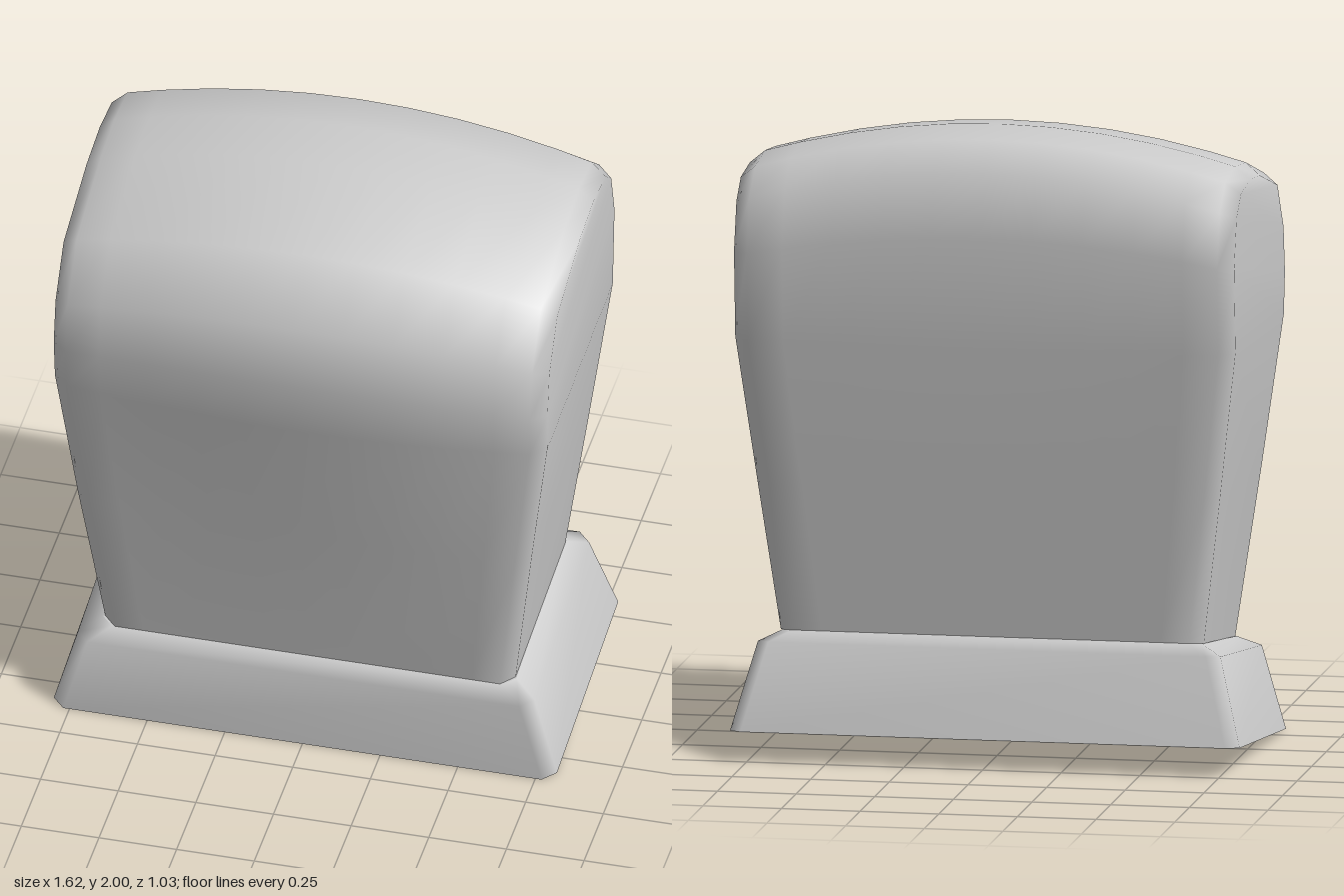
import * as THREE from 'three';

function smoothMesh(name, positions, index) {
  const g = new THREE.BufferGeometry();
  g.setAttribute('position', new THREE.Float32BufferAttribute(positions, 3));
  g.setIndex(index);
  g.computeVertexNormals();
  const mesh = new THREE.Mesh(g, new THREE.MeshStandardMaterial({ color: 0xcccccc }));
  mesh.name = name;
  return mesh;
}

// Side profiles [z, y]: up the front, over the top, down the back
const middle = [[0.31, 0.3], [0.39, 0.83], [0.49, 1.31], [0.515, 1.5], [0.495, 1.71], [0.34, 1.89], [-0.02, 1.98],
  [-0.2, 2], [-0.37, 1.98], [-0.47, 1.89], [-0.512, 1.69], [-0.49, 1.34], [-0.43, 0.87], [-0.37, 0.4]];
const edge = [[0.31, 0.3], [0.385, 0.83], [0.43, 1.31], [0.437, 1.45], [0.41, 1.61], [0.29, 1.78], [-0.02, 1.87],
  [-0.2, 1.89], [-0.37, 1.87], [-0.465, 1.79], [-0.512, 1.62], [-0.49, 1.34], [-0.43, 0.87], [-0.37, 0.4]];

// Edge profile shrunk inwards, for the bevelled side panels
function inset(profile, d) {
  const last = profile.length - 1;
  return profile.map(([z, y], i) => {
    if (i === 0) return [z - d, y + d * 0.15];
    if (i === last) return [z + d, y - d * 0.15];
    const a = profile[i - 1], b = profile[i + 1];
    const dz = b[0] - a[0], dy = b[1] - a[1], len = Math.hypot(dz, dy);
    return [z - (d * dy) / len, y + (d * dz) / len];
  });
}

function createBody() {
  const n = middle.length, rim = 0.94;
  const panel = inset(edge, 0.04);
  const halfWidth = (y) => 0.66 + 0.135 * Math.min(1, Math.max(0, (y - 0.3) / 1.03));
  const steps = [0, 0.2, 0.4, 0.6, 0.8, rim, 1];
  const stations = [...steps.slice(1).reverse().map((s) => -s), ...steps];
  const positions = [], index = [];
  for (const s of stations) {
    const t = (s / rim) ** 2;
    for (let j = 0; j < n; j++) {
      const [z, y] = Math.abs(s) === 1 ? panel[j]
        : [0, 1].map((k) => THREE.MathUtils.lerp(middle[j][k], edge[j][k], t));
      positions.push(s * halfWidth(y), y, z);
    }
  }
  // Skin across the width
  for (let i = 0; i < stations.length - 1; i++) {
    for (let j = 0; j < n - 1; j++) {
      const a = i * n + j, b = a + n;
      index.push(a, b, b + 1, a, b + 1, a + 1);
    }
  }
  // Side panels, as strips between front and back points
  const end = (stations.length - 1) * n;
  for (let j = 0; j < n / 2 - 1; j++) {
    const f = j, b = n - 1 - j;
    index.push(end + f, end + b, end + b - 1, end + f, end + b - 1, end + f + 1);
    index.push(f, b - 1, b, f, f + 1, b - 1);
  }
  return smoothMesh('body', positions, index);
}

// Rectangle with cut corners, tilted so its back edge is higher
function tiltedRing({ w, front, back, yFront, yBack, cut }) {
  const outline = [[w - cut, front], [w, front - cut], [w, back + cut], [w - cut, back],
    [cut - w, back], [-w, back + cut], [-w, front - cut], [cut - w, front]];
  return outline.map(([x, z]) => [x, yFront + ((yBack - yFront) * (front - z)) / (front - back), z]);
}

function createBase() {
  const rings = [
    { w: 0.81, front: 0.375, back: -0.5, yFront: 0, yBack: 0.095, cut: 0.04 },
    { w: 0.735, front: 0.365, back: -0.425, yFront: 0.265, yBack: 0.37, cut: 0.04 },
    { w: 0.665, front: 0.31, back: -0.368, yFront: 0.3, yBack: 0.4, cut: 0.035 },
  ].map(tiltedRing);
  const group = new THREE.Group();
  group.name = 'base';

  // Sloping sides with a softened upper lip
  const index = [];
  for (let r = 0; r < 2; r++) {
    for (let i = 0; i < 8; i++) {
      const a = r * 8 + i, b = r * 8 + ((i + 1) % 8);
      index.push(a, b, b + 8, a, b + 8, a + 8);
    }
  }
  group.add(smoothMesh('baseSides', rings.flat(2), index));

  // Flat faces above and below
  const top = [], bottom = [];
  for (let i = 1; i < 7; i++) {
    top.push(0, i, i + 1);
    bottom.push(0, i + 1, i);
  }
  group.add(smoothMesh('baseTop', rings[2].flat(), top));
  group.add(smoothMesh('baseUnderside', rings[0].flat(), bottom));
  return group;
}

export function createModel() {
  const model = new THREE.Group();
  model.name = 'headrest';
  model.add(createBody(), createBase());
  return model;
}
